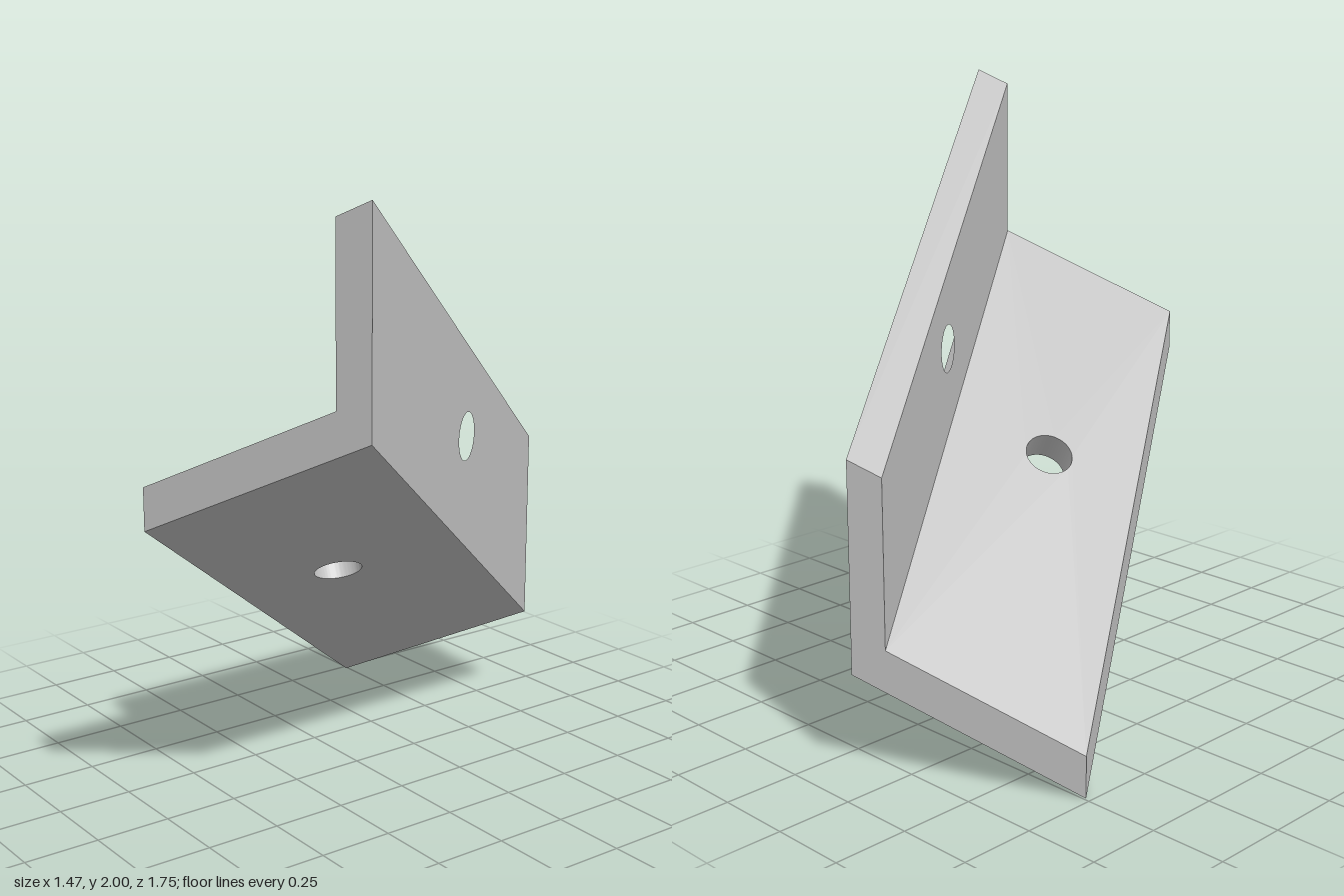
import * as THREE from 'three';
import { toCreasedNormals } from 'three/addons/utils/BufferGeometryUtils.js';

const HOLE_RADIUS = 0.079;
const WALL = 0.149; // upright plate thickness, as a fraction of the base width
const FLOOR = 0.135; // base plate thickness, measured vertically
const HEIGHT = 0.67;

// Point on the slanted bracket: s across the base, t along the fold, h straight up
const point = (s, t, h) => new THREE.Vector3(
  0.7325 - 0.605 * s - 0.86 * t,
  1.33 - 0.325 * s - 1.005 * t + h,
  0.493 + 0.38 * s - 1.366 * t
);

// Flat plate between two parallel four-cornered faces, drilled square to them
function drilledPlate(outer, inner, hole) {
  const xAxis = outer[1].clone().sub(outer[0]).normalize();
  const side = outer[3].clone().sub(outer[0]);
  const normal = xAxis.clone().cross(side).normalize();
  let depth = inner[0].clone().sub(outer[0]).dot(normal);
  if (depth < 0) {
    normal.negate();
    depth = -depth;
  }
  const yAxis = normal.clone().cross(xAxis);
  const flat = (p) => {
    const d = p.clone().sub(outer[0]);
    return new THREE.Vector2(d.dot(xAxis), d.dot(yAxis));
  };
  const outer2 = outer.map(flat);
  const inner2 = inner.map(flat);
  const centre = flat(hole);

  const shape = new THREE.Shape(outer2);
  shape.holes.push(new THREE.Path().absarc(centre.x, centre.y, HOLE_RADIUS, 0, Math.PI * 2, true));
  const geometry = new THREE.ExtrudeGeometry(shape, { depth, bevelEnabled: false, curveSegments: 48 });

  // Slide the inner face's corners into place, leaving the hole straight
  const pos = geometry.attributes.position;
  for (let i = 0; i < pos.count; i++) {
    if (pos.getZ(i) < depth / 2) continue;
    const v = new THREE.Vector2(pos.getX(i), pos.getY(i));
    const k = outer2.findIndex((c) => c.distanceTo(v) < 1e-4);
    if (k >= 0) pos.setXY(i, inner2[k].x, inner2[k].y);
  }
  geometry.applyMatrix4(new THREE.Matrix4().makeBasis(xAxis, yAxis, normal).setPosition(outer[0]));
  return toCreasedNormals(geometry, 0.5);
}

export function createModel() {
  const group = new THREE.Group();
  group.name = 'angleBracket';
  const steel = new THREE.MeshStandardMaterial({ color: 0xc0c0c0 });
  steel.name = 'grey steel';

  const add = (name, geometry) => {
    const mesh = new THREE.Mesh(geometry, steel);
    mesh.name = name;
    group.add(mesh);
  };

  // Sloping base, mitred where it meets the upright
  add('basePlate', drilledPlate(
    [point(0, 0, 0), point(0, 1, 0), point(1, 1, 0), point(1, 0, 0)],
    [point(WALL, 0, FLOOR), point(WALL, 1, FLOOR), point(1, 1, FLOOR), point(1, 0, FLOOR)],
    point(0.54, 0.441, 0)
  ));

  // Upright plate
  add('uprightPlate', drilledPlate(
    [point(0, 0, 0), point(0, 1, 0), point(0, 1, HEIGHT), point(0, 0, HEIGHT)],
    [point(WALL, 0, FLOOR), point(WALL, 1, FLOOR), point(WALL, 1, HEIGHT), point(WALL, 0, HEIGHT)],
    point(0, 0.535, 0.37)
  ));

  return group;
}
